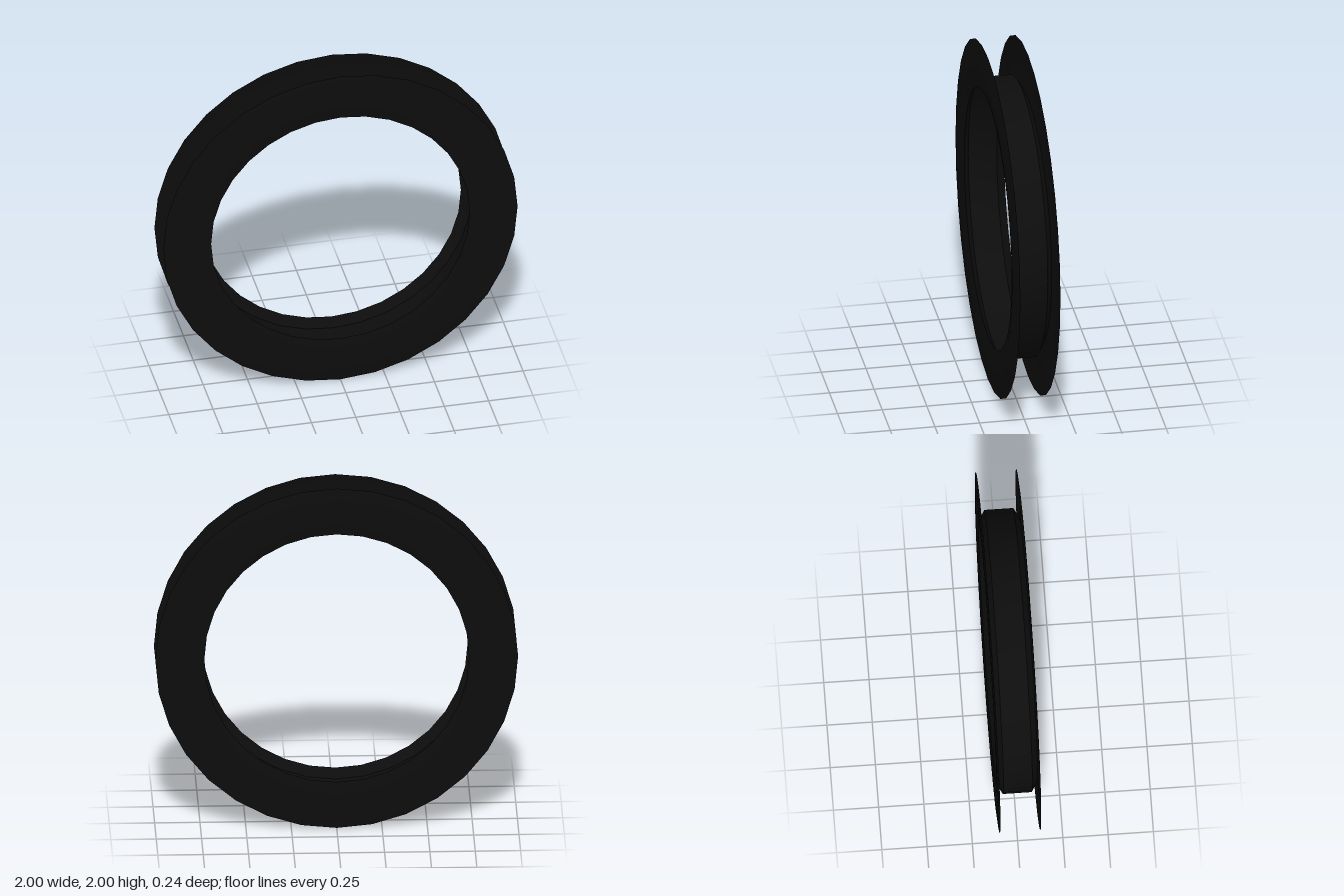
import * as THREE from 'three';
import { toCreasedNormals } from 'three/addons/utils/BufferGeometryUtils.js';

const SIDES = 32;

export function createModel() {
  const model = new THREE.Group();
  model.name = 'tyre';
  const rubber = new THREE.MeshStandardMaterial({ color: 0x0d0d0d, side: THREE.DoubleSide });
  rubber.name = 'black rubber';

  // Spins a [radius, z] profile around the z axis, centred at y = 1
  function ring(name, profile) {
    const points = profile.map(([r, z]) => new THREE.Vector2(r, z));
    const lathe = new THREE.LatheGeometry(points, SIDES).rotateX(Math.PI / 2);
    const mesh = new THREE.Mesh(toCreasedNormals(lathe, Math.PI / 6), rubber);
    mesh.name = name;
    mesh.position.y = 1;
    model.add(mesh);
  }

  // Thin, slightly bulging sidewalls, open towards the tread
  const wall = [[1, 0.112], [0.94, 0.117], [0.86, 0.12], [0.78, 0.119], [0.73, 0.112]];
  ring('frontSidewall', wall);
  ring('backSidewall', wall.map(([r, z]) => [r, -z]).reverse());

  // Inner band with chamfered edges joining both sidewalls
  ring('innerBand', [[0.73, -0.112], [0.785, -0.08], [0.785, 0.08], [0.73, 0.112]]);

  return model;
}
